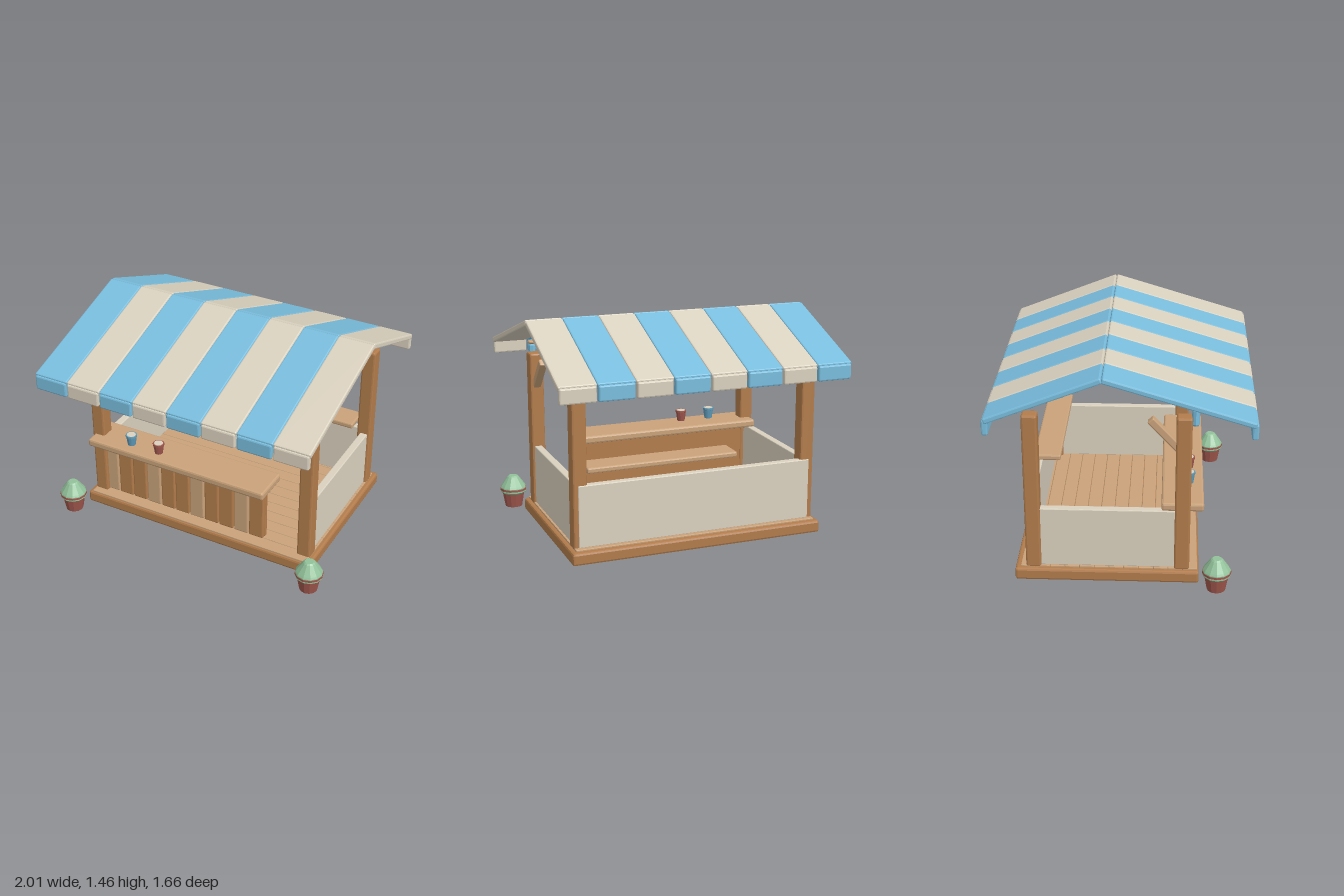
import * as THREE from 'three';
import { RoundedBoxGeometry } from 'three/addons/geometries/RoundedBoxGeometry.js';

function makeMaterial(name, color) {
  const m = new THREE.MeshStandardMaterial({ color });
  m.name = name;
  return m;
}

// facet normals, so bevels and low-poly sides stay crisp
function faceted(geometry) {
  const g = geometry.index ? geometry.toNonIndexed() : geometry;
  g.computeVertexNormals();
  return g;
}

export function createModel() {
  const model = new THREE.Group();
  model.name = 'marketStall';

  const wood = makeMaterial('wood', 0xb27c4c);
  const lightWood = makeMaterial('light wood', 0xc9a27a);
  const cream = makeMaterial('cream', 0xdad1bf);
  const blue = makeMaterial('sky blue', 0x79bddd);
  const cupBlue = makeMaterial('cup blue', 0x5f9cba);
  const terracotta = makeMaterial('terracotta', 0xa0574d);
  const leaf = makeMaterial('leaf green', 0x92c19a);

  function add(parent, name, geometry, material, x, y, z) {
    const mesh = new THREE.Mesh(geometry, material);
    mesh.name = name;
    mesh.position.set(x, y, z);
    parent.add(mesh);
    return mesh;
  }

  // bevelled box given by its limits on each axis
  function block(parent, name, material, [x0, x1], [y0, y1], [z0, z1], bevel = 0.01) {
    const g = faceted(new RoundedBoxGeometry(x1 - x0, y1 - y0, z1 - z0, 1, bevel));
    return add(parent, name, g, material, (x0 + x1) / 2, (y0 + y1) / 2, (z0 + z1) / 2);
  }

  // turned part from radius/height pairs
  function turned(parent, name, material, profile, x, y, z, sides = 12) {
    const points = profile.map(([r, h]) => new THREE.Vector2(r, h));
    return add(parent, name, faceted(new THREE.LatheGeometry(points, sides)), material, x, y, z);
  }

  function group(name) {
    const g = new THREE.Group();
    g.name = name;
    model.add(g);
    return g;
  }

  // platform and floor boards
  const floor = group('floor');
  block(floor, 'platform', wood, [-0.86, 0.86], [0, 0.083], [-0.677, 0.5], 0.015);
  for (let i = 0; i < 12; i++) {
    const z = 0.443 - i * 0.0945;
    block(floor, 'floorBoard', lightWood, [-0.83, 0.83], [0.07, 0.094], [z - 0.046, z + 0.046], 0.004);
  }

  // corner posts, braces and hanging lanterns
  const frame = group('frame');
  for (const s of [-1, 1]) {
    const x = s * 0.785;
    block(frame, 'frontPost', wood, [x - 0.047, x + 0.047], [0.08, 1.148], [0.34, 0.438], 0.012);
    block(frame, 'backPost', wood, [x - 0.047, x + 0.047], [0.08, 1.148], [-0.608, -0.51], 0.012);

    const brace = block(frame, 'brace', lightWood, [x - 0.026, x + 0.026], [0.88, 1.16], [0.242, 0.292], 0.008);
    brace.position.set(x, 1.02, 0.275);
    brace.rotation.x = -0.75;

    turned(frame, 'lantern', blue, [[0, 0], [0.019, 0], [0.024, 0.012], [0.024, 0.1], [0.017, 0.115], [0, 0.115]], x, 1.085, 0.457, 8);
    turned(frame, 'lanternCap', lightWood, [[0, 0], [0.022, 0], [0.03, 0.006], [0.03, 0.015], [0.022, 0.02], [0, 0.02]], x, 1.197, 0.457, 8);
  }

  // low walls on the sides and back
  const walls = group('walls');
  for (const s of [-1, 1]) {
    block(walls, 'sideWall', cream, [s * 0.79 - 0.026, s * 0.79 + 0.026], [0.09, 0.5], [-0.52, 0.345], 0.006);
  }
  block(walls, 'backWall', cream, [-0.8, 0.8], [0.09, 0.5], [-0.612, -0.562], 0.006);
  block(walls, 'backShelf', lightWood, [-0.28, 0.735], [0.568, 0.606], [-0.605, -0.425], 0.01);

  // serving counter with a slatted front
  const counter = group('counter');
  block(counter, 'counterPanel', wood, [-0.76, 0.475], [0.09, 0.505], [0.345, 0.375], 0.005);
  for (let i = 0; i < 11; i++) {
    const x = -0.71 + i * 0.1132;
    block(counter, 'slat', i % 3 ? wood : lightWood, [x - 0.052, x + 0.052], [0.095, 0.5], [0.37, 0.41], 0.008);
  }
  block(counter, 'counterTop', lightWood, [-0.815, 0.525], [0.498, 0.553], [0.255, 0.523], 0.014);

  // cups on the counter
  for (const [x, material] of [[-0.52, cupBlue], [-0.305, terracotta]]) {
    turned(counter, 'cup', material, [[0, 0], [0.027, 0], [0.036, 0.062], [0.039, 0.064], [0.039, 0.077], [0, 0.077]], x, 0.553, 0.43);
    turned(counter, 'cupFill', cream, [[0.031, 0], [0.031, 0.002], [0, 0.002]], x, 0.5765 + 0.053, 0.43);
  }

  // striped gable roof with hanging valance flaps
  const roof = group('roof');
  const ridge = { y: 1.447, z: -0.106 };
  for (let i = 0; i < 8; i++) {
    const x = (i - 3.5) * 0.2437;
    const material = i % 2 ? cream : blue;
    for (const [eave, side] of [[0.815, 'front'], [-0.815, 'back']]) {
      const dz = eave - ridge.z;
      const dy = 1.17 - ridge.y;
      const length = Math.hypot(dz, dy);
      const panel = block(roof, side + 'RoofStripe', material, [-0.1215, 0.1215], [-0.019, 0.019], [-length / 2, length / 2], 0.009);
      panel.position.set(x, ridge.y + dy / 2, ridge.z + dz / 2);
      panel.rotation.x = Math.atan2(-dy, dz) + (dz < 0 ? Math.PI : 0);
      const z = Math.sign(eave) * 0.808;
      block(roof, side + 'Valance', material, [x - 0.116, x + 0.116], [1.078, 1.178], [z - 0.02, z + 0.02], 0.01);
    }
  }

  // potted shrubs at the front corners
  for (const s of [-1, 1]) {
    const plant = group(s > 0 ? 'leftPlant' : 'rightPlant');
    const x = s * 0.91, z = 0.61;
    turned(plant, 'pot', terracotta, [[0, 0], [0.06, 0], [0.078, 0.1], [0, 0.1]], x, 0, z);
    turned(plant, 'potRim', terracotta, [[0, 0.12], [0.093, 0.12], [0.093, 0.134], [0, 0.134]], x, 0, z);
    turned(plant, 'shrub', leaf, [[0, 0.094], [0.074, 0.094], [0.092, 0.11], [0.09, 0.14], [0.083, 0.152], [0.04, 0.214], [0.03, 0.222], [0, 0.222]], x, 0, z);
  }

  return model;
}
